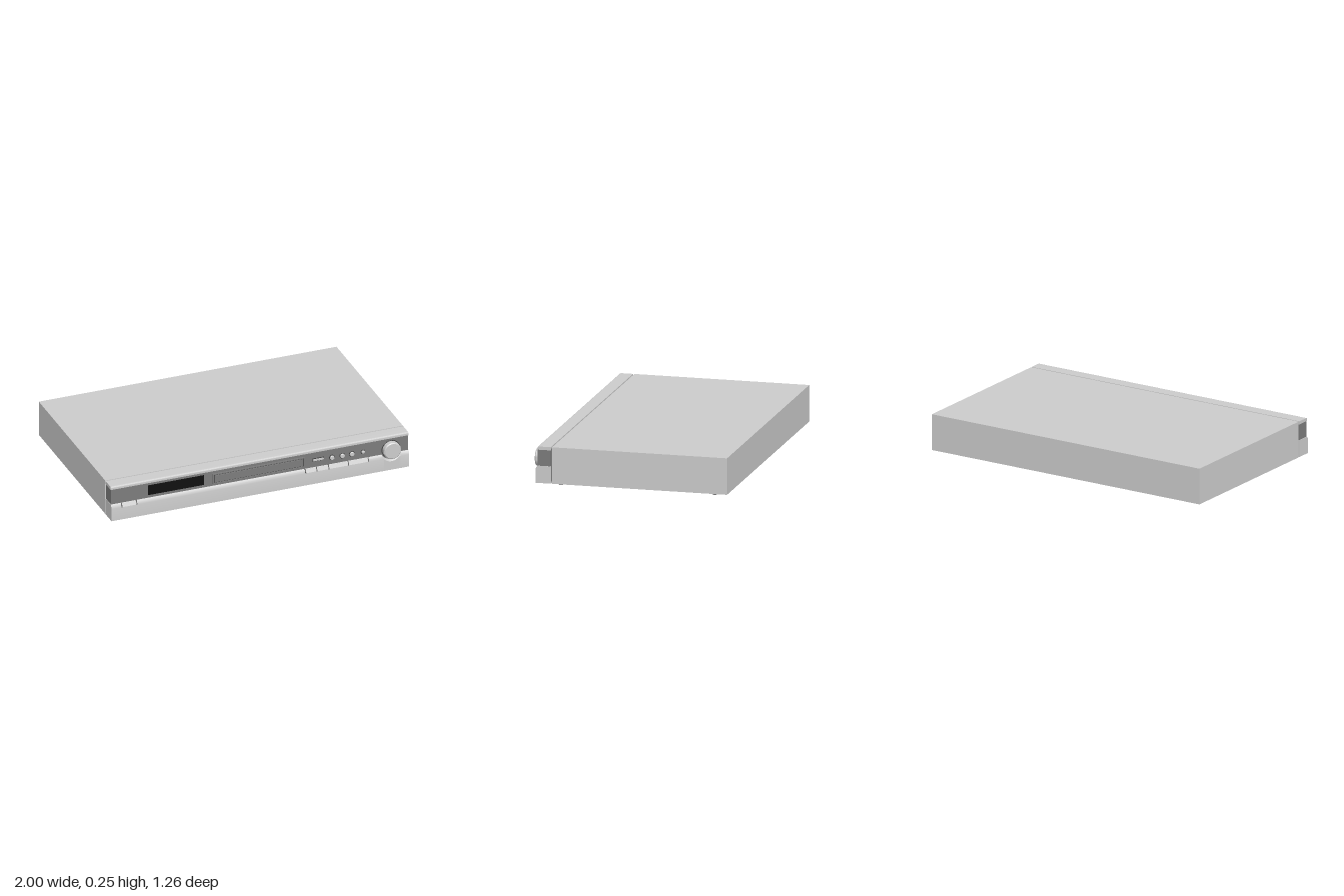
import * as THREE from 'three';
import { toCreasedNormals } from 'three/addons/utils/BufferGeometryUtils.js';

const paint = (color) => new THREE.MeshStandardMaterial({ color });
const grey = paint(0xcccccc);
const dark = paint(0x7c7c7c);
const black = paint(0x101010);
const slit = paint(0x444444);

const KNOB = { x: 0.882, y: 0.152, r: 0.057 };
const BAND_Z = 0.595;

export function createModel() {
  const model = new THREE.Group();

  function add(name, geometry, material, x = 0, y = 0, z = 0, parent = model) {
    const mesh = new THREE.Mesh(geometry, material);
    mesh.name = name;
    mesh.position.set(x, y, z);
    parent.add(mesh);
    return mesh;
  }
  // Box given by its limits on each axis
  function block(name, [x0, x1], [y0, y1], [z0, z1], material = grey) {
    return add(name, new THREE.BoxGeometry(x1 - x0, y1 - y0, z1 - z0), material,
      (x0 + x1) / 2, (y0 + y1) / 2, (z0 + z1) / 2);
  }
  // Round part facing forward, with a chamfered front edge
  function dial(name, r, depth, chamfer, material, x, y, z) {
    const profile = [[0, 0], [r, 0], [r, depth - chamfer], [r - chamfer, depth], [0, depth]]
      .map(([a, b]) => new THREE.Vector2(a, b));
    const g = toCreasedNormals(new THREE.LatheGeometry(profile, 40), 0.5);
    return add(name, g.rotateX(Math.PI / 2), material, x, y, z);
  }

  // Main case and the recessed joint behind the front panel
  block('case', [-1, 1], [0.012, 0.247], [-0.63, 0.502]);
  block('panelJoint', [-0.992, 0.992], [0.024, 0.235], [0.5, 0.515], dark);

  // Top trim with a rounded front edge, extruded along x
  const trim = new THREE.Shape();
  trim.moveTo(-0.51, 0.226);
  trim.lineTo(-0.51, 0.247);
  trim.lineTo(-0.587, 0.247);
  trim.quadraticCurveTo(-0.597, 0.247, -0.597, 0.237);
  trim.lineTo(-0.597, 0.226);
  const trimGeo = new THREE.ExtrudeGeometry(trim, { depth: 2, bevelEnabled: false, curveSegments: 6 });
  trimGeo.rotateY(Math.PI / 2).translate(-1, 0, 0);
  add('topTrim', toCreasedNormals(trimGeo, 0.6), grey);

  // Dark control band
  block('controlBand', [-0.998, 0.998], [0.06, 0.227], [0.512, BAND_Z], dark);

  // Lower panel: sloped top edge, dipping in an arc below the knob
  add('lowerPanel', lowerPanelGeometry(), grey);

  // Display window
  block('display', [-0.75, -0.375], [0.142, 0.21], [0.59, 0.598], black);

  // Disc tray: frame with an opening and a raised door
  const frame = rect(-0.318, 0.136, 0.304, 0.208);
  frame.holes.push(rect(-0.31, 0.143, 0.296, 0.201));
  add('trayFrame', new THREE.ExtrudeGeometry(frame, { depth: 0.012, bevelEnabled: false }), dark, 0, 0, 0.592);
  block('trayGap', [-0.31, 0.296], [0.143, 0.201], [0.59, 0.597], slit);
  block('trayDoor', [-0.303, 0.289], [0.149, 0.195], [0.592, 0.604], dark);

  // Buttons on the control band
  block('openButtonSurround', [0.355, 0.434], [0.163, 0.185], [0.59, 0.597], slit);
  block('openButton', [0.36, 0.429], [0.168, 0.18], [0.592, 0.603], grey);
  [[0.487, 0.019], [0.556, 0.019], [0.62, 0.019], [0.695, 0.015]].forEach(([x, r]) => {
    dial('buttonRing', r, 0.004, 0.001, slit, x, 0.168, 0.594);
    dial('roundButton', r - 0.004, 0.012, 0.003, grey, x, 0.168, 0.594);
  });

  // Volume knob
  dial('knobBase', KNOB.r + 0.005, 0.004, 0.001, slit, KNOB.x, KNOB.y, 0.594);
  dial('knob', KNOB.r, 0.037, 0.006, grey, KNOB.x, KNOB.y, 0.595);

  // Key rows lying on the slope, split by thin slits
  const tilt = -Math.atan2(0.013, 0.026);
  [[-0.93, -0.83], [0.305, 0.38, 0.46, 0.593, 0.727]].forEach((edges) => {
    const row = new THREE.Group();
    row.name = 'keyRow';
    row.position.set(0, 0.11, 0.6045);
    row.rotation.x = tilt;
    model.add(row);
    edges.forEach((x, i) => {
      add('keySlit', new THREE.BoxGeometry(0.006, 0.03, 0.007), slit, x, 0, 0, row);
      if (i === edges.length - 1) return;
      const w = edges[i + 1] - x;
      add('key', new THREE.BoxGeometry(w - 0.006, 0.026, 0.007), grey, x + w / 2, 0, 0, row);
    });
  });

  // Feet
  for (const x of [-0.96, 0.96]) {
    for (const z of [0.455, -0.54]) {
      add('foot', new THREE.CylinderGeometry(0.015, 0.013, 0.014, 20), dark, x, 0.007, z);
    }
  }
  return model;
}

function rect(x0, y0, x1, y1) {
  return new THREE.Shape([[x0, y0], [x1, y0], [x1, y1], [x0, y1]].map(([x, y]) => new THREE.Vector2(x, y)));
}

// Cross-sections along x, joined in a loop and capped
function lowerPanelGeometry() {
  const top = 0.123, R = 0.068;
  const half = Math.sqrt(R * R - (KNOB.y - top) ** 2);
  const xs = [-1];
  for (let i = 0; i <= 24; i++) xs.push(KNOB.x - half * Math.cos((Math.PI * i) / 24));
  xs.push(1);
  const sections = xs.map((x) => {
    const d = x - KNOB.x;
    const t = Math.abs(d) < half ? KNOB.y - Math.sqrt(R * R - d * d) : top;
    const foot = Math.min(0.097, t - 0.012);
    return [[0.012, 0.61], [0.012, 0.51], [t, 0.51], [t, 0.597],
      [foot + (t - foot) * 0.55, 0.606], [foot, 0.61]].map(([y, z]) => [x, y, z]);
  });
  const pos = [];
  const tri = (a, b, c) => pos.push(...a, ...b, ...c);
  const n = sections[0].length;
  for (let i = 0; i < sections.length - 1; i++) {
    const s = sections[i], e = sections[i + 1];
    for (let k = 0; k < n; k++) {
      const m = (k + 1) % n;
      tri(s[k], s[m], e[m]);
      tri(s[k], e[m], e[k]);
    }
  }
  const first = sections[0], last = sections[sections.length - 1];
  for (let k = 1; k < n - 1; k++) {
    tri(last[0], last[k], last[k + 1]);
    tri(first[0], first[k + 1], first[k]);
  }
  const g = new THREE.BufferGeometry();
  g.setAttribute('position', new THREE.Float32BufferAttribute(pos, 3));
  return toCreasedNormals(g, 0.4);
}
